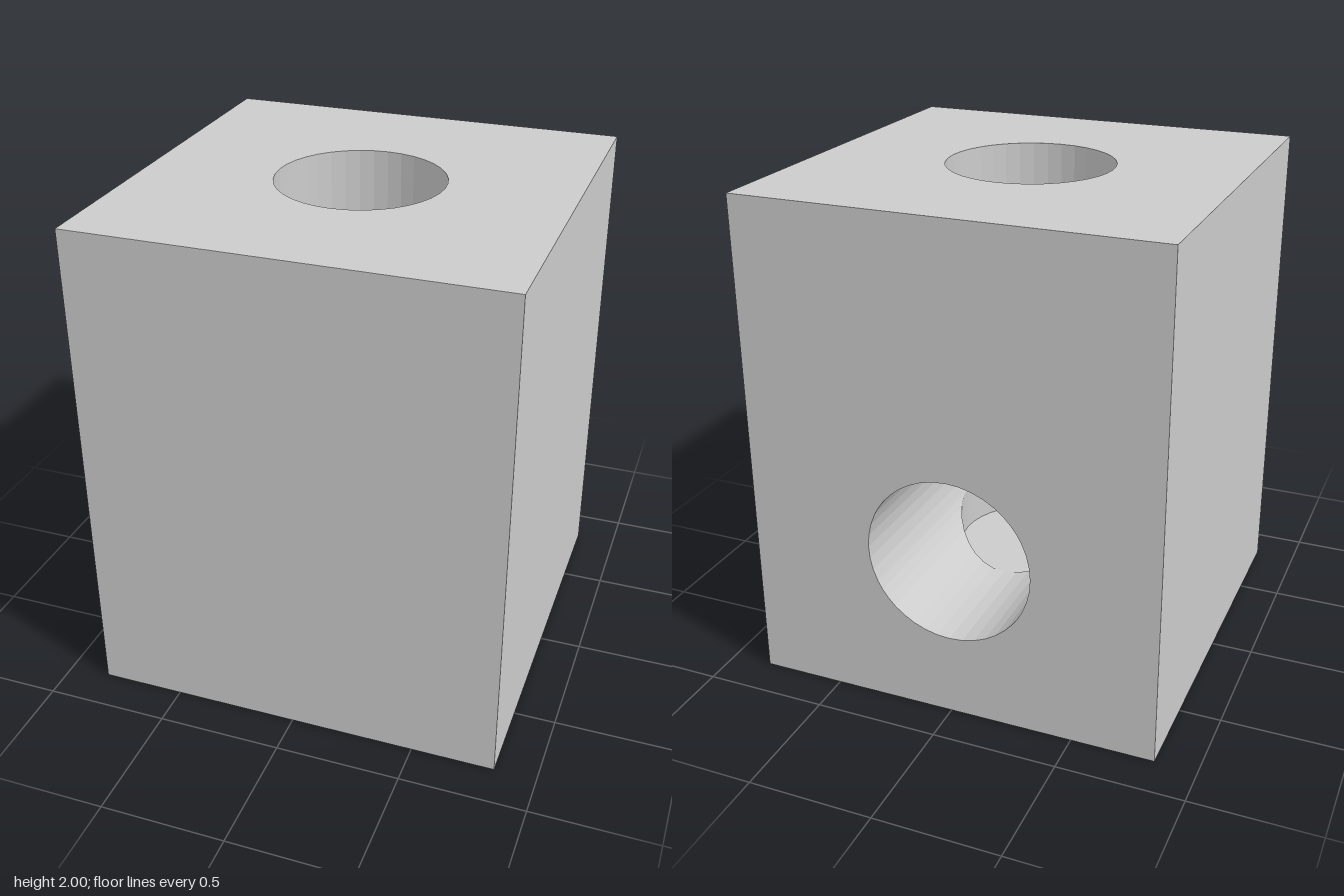
import * as THREE from 'three';

const HALF = 5 / 6, HEIGHT = 2;           // block half width and height
const R = 1 / 3, CORE = 0.3;              // socket bore and narrower core bore
const FLOOR = 1 / 3, LEDGE = 1, AXIS = 2 / 3; // heights: core floor, ledge, side bore axis

const outer = new THREE.MeshStandardMaterial({ color: 0xcccccc, flatShading: true });
const inner = new THREE.MeshStandardMaterial({ color: 0xcccccc, flatShading: true, side: THREE.DoubleSide });

// Quads between two rows of points
function strip(a, b) {
  const pts = [];
  for (let i = 0; i + 1 < a.length; i++) pts.push(a[i], b[i], b[i + 1], a[i], b[i + 1], a[i + 1]);
  const geo = new THREE.BufferGeometry().setFromPoints(pts);
  geo.computeVertexNormals();
  return geo;
}

// Rectangle centred on the origin, with an optional hole
function panel(w, h, holePoints) {
  const x = w / 2, y = h / 2;
  const shape = new THREE.Shape([[-x, -y], [x, -y], [x, y], [-x, y]].map(p => new THREE.Vector2(...p)));
  if (holePoints) shape.holes.push(new THREE.Path(holePoints));
  return new THREE.ShapeGeometry(shape);
}

const polar = (r, t, y = 0) => new THREE.Vector2(r * Math.cos(t), r * Math.sin(t) + y);
const range = (n, f) => Array.from({ length: n + 1 }, (_, i) => f(i / n));

export function createModel() {
  const group = new THREE.Group();
  const add = (name, geo, mat, pos = [0, 0, 0], rot = [0, 0, 0]) => {
    const mesh = new THREE.Mesh(geo, mat);
    mesh.name = name;
    mesh.position.set(...pos);
    mesh.rotation.set(...rot);
    group.add(mesh);
  };
  const W = 2 * HALF, Q = Math.PI / 2;

  // Side bore outline: angles chosen so its vertices meet those of the core wall
  const phis = range(18, t => t * Math.PI);
  const upper = phis.map(p => Math.acos(CORE * Math.cos(p) / R));
  const edge = upper[0];
  const sides = c => range(6, t => c - edge + 2 * edge * t).slice(1, -1);
  const angles = [...upper, ...sides(Math.PI), ...upper.map(a => a + Math.PI), ...sides(2 * Math.PI), edge + 2 * Math.PI];

  // Outer faces
  const topHole = range(36, t => polar(R, t * 2 * Math.PI)).slice(0, -1);
  const backHole = angles.slice(0, -1).map(a => polar(R, a, AXIS - HEIGHT / 2));
  add('topFace', panel(W, W, topHole), outer, [0, HEIGHT, 0], [-Q, 0, 0]);
  add('bottomFace', panel(W, W), outer, [0, 0, 0], [Q, 0, 0]);
  add('frontFace', panel(W, HEIGHT), outer, [0, 1, HALF]);
  add('backFace', panel(W, HEIGHT, backHole), outer, [0, 1, -HALF], [0, Math.PI, 0]);
  for (const s of [1, -1]) {
    add(s > 0 ? 'leftFace' : 'rightFace', panel(W, HEIGHT), outer, [s * HALF, 1, 0], [0, s * Q, 0]);
  }

  // Top socket with the ledge at its foot, and the floor of the core
  add('topBore', new THREE.CylinderGeometry(R, R, HEIGHT - LEDGE, 36, 1, true), inner, [0, (HEIGHT + LEDGE) / 2, 0]);
  add('ledge', new THREE.RingGeometry(CORE, R, 36), inner, [0, LEDGE, 0], [-Q, 0, 0]);
  add('coreFloor', new THREE.CircleGeometry(CORE, 36), inner, [0, FLOOR, 0], [-Q, 0, 0]);

  // Core wall: whole at the front, cut by the side bore at the back
  const wall = (sign, yAt) => phis.map(p => {
    const x = CORE * Math.cos(p);
    return new THREE.Vector3(x, yAt(Math.sqrt(R * R - x * x)), sign * CORE * Math.sin(p));
  });
  add('coreFrontWall', strip(wall(1, () => FLOOR), wall(1, () => LEDGE)), inner);
  add('coreLowerBackWall', strip(wall(-1, () => FLOOR), wall(-1, h => AXIS - h)), inner);
  add('coreUpperBackWall', strip(wall(-1, h => AXIS + h), wall(-1, () => LEDGE)), inner);

  // Side bore from the back face to the core
  const boreRow = zAt => angles.map(a => {
    const p = polar(R, a, AXIS);
    return new THREE.Vector3(p.x, p.y, zAt(p.x));
  });
  add('backBore', strip(boreRow(() => -HALF), boreRow(x => -Math.sqrt(Math.max(0, CORE * CORE - x * x)))), inner);

  // Thin end walls of the side bore beside the core
  for (const c of [0, Math.PI]) {
    const arc = range(6, t => polar(R, c - edge + 2 * edge * t, AXIS));
    add('boreEnd', new THREE.ShapeGeometry(new THREE.Shape(arc)), inner);
  }
  return group;
}
